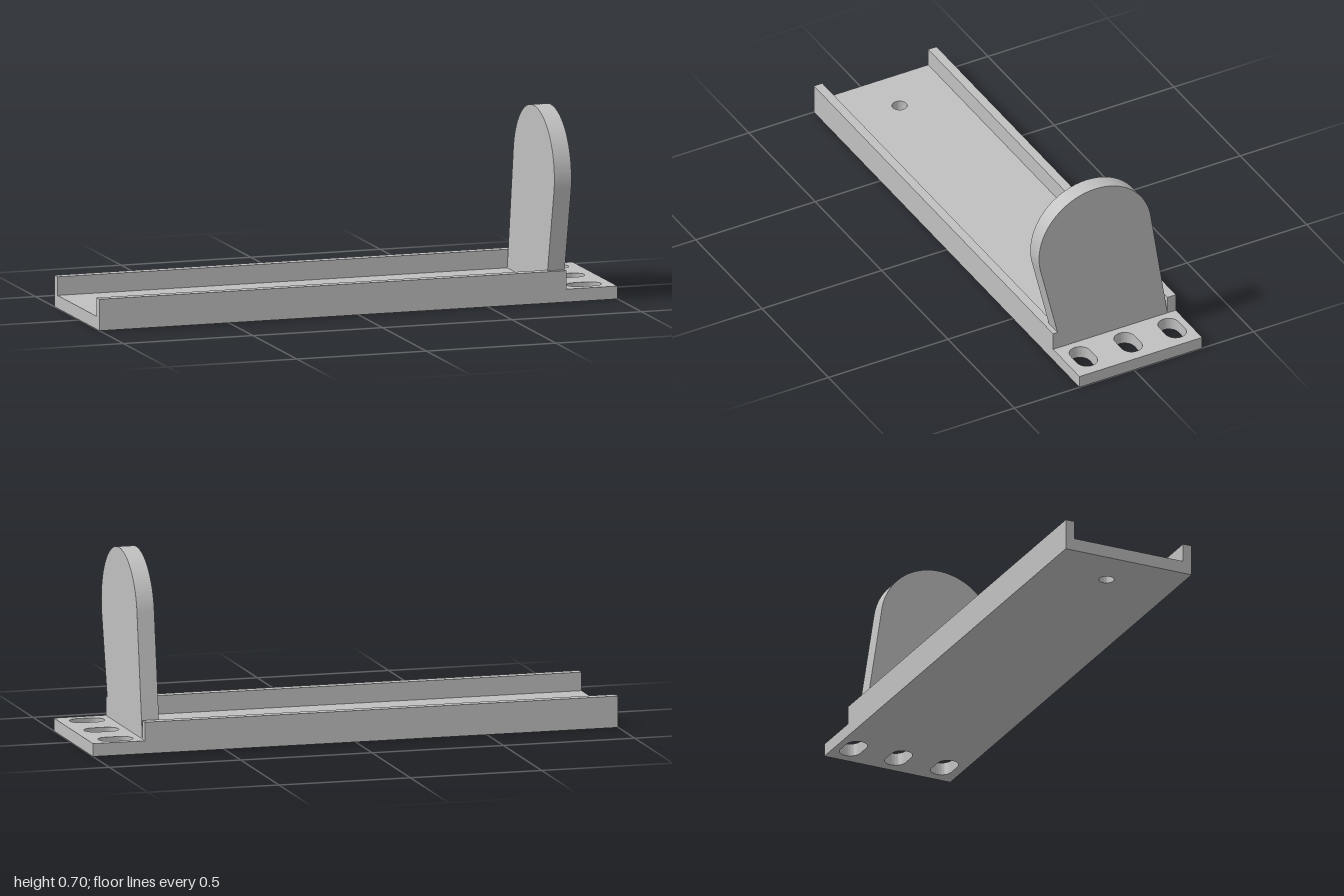
import * as THREE from 'three';
import { toCreasedNormals } from 'three/addons/utils/BufferGeometryUtils.js';

const FLOOR = 0.048, RAIL_TOP = 0.117;
const BACK = -0.285, FRONT = 0.228;
const RAIL_END = 0.802;

function extrude(shape, depth) {
  const geo = new THREE.ExtrudeGeometry(shape, { depth, bevelEnabled: false, curveSegments: 40 });
  return toCreasedNormals(geo, 0.5);
}

// Rounded slot running along x; a zero half-length gives a round hole
function slot(x, z, half, r) {
  const p = new THREE.Path();
  p.absarc(x + half, -z, r, -Math.PI / 2, Math.PI / 2, false);
  p.absarc(x - half, -z, r, Math.PI / 2, Math.PI * 1.5, false);
  p.closePath();
  return p;
}

export function createModel() {
  const model = new THREE.Group();
  model.name = 'channelBracket';
  const grey = new THREE.MeshStandardMaterial({ color: 0xc0c0c0 });
  grey.name = 'light grey';

  const add = (name, geo) => {
    const mesh = new THREE.Mesh(geo, grey);
    mesh.name = name;
    model.add(mesh);
    return mesh;
  };

  // Base plate with a pin hole and three mounting slots
  const base = new THREE.Shape([
    new THREE.Vector2(-1, -FRONT), new THREE.Vector2(1, -FRONT),
    new THREE.Vector2(1, -BACK), new THREE.Vector2(-1, -BACK),
  ]);
  base.holes.push(slot(-0.825, -0.033, 0, 0.028));
  for (const z of [-0.218, -0.034, 0.153]) base.holes.push(slot(0.895, z, 0.025, 0.04));
  add('basePlate', extrude(base, FLOOR).rotateX(-Math.PI / 2));

  // Side rails
  for (const [name, z0, z1] of [['frontRail', 0.193, FRONT], ['backRail', BACK, -0.25]]) {
    const rail = add(name, new THREE.BoxGeometry(RAIL_END + 1, RAIL_TOP - FLOOR, z1 - z0));
    rail.position.set((RAIL_END - 1) / 2, (RAIL_TOP + FLOOR) / 2, (z0 + z1) / 2);
  }

  // Upright end plate: leaning sides tangent to a round top
  const plate = new THREE.Shape();
  plate.moveTo(-0.25, FLOOR);
  plate.lineTo(0.193, FLOOR);
  plate.absarc(0.052, 0.47, 0.235, -0.234, Math.PI - 0.15, false);
  plate.closePath();
  add('endPlate', extrude(plate, 0.066).rotateY(-Math.PI / 2).translate(RAIL_END, 0, 0));

  return model;
}
